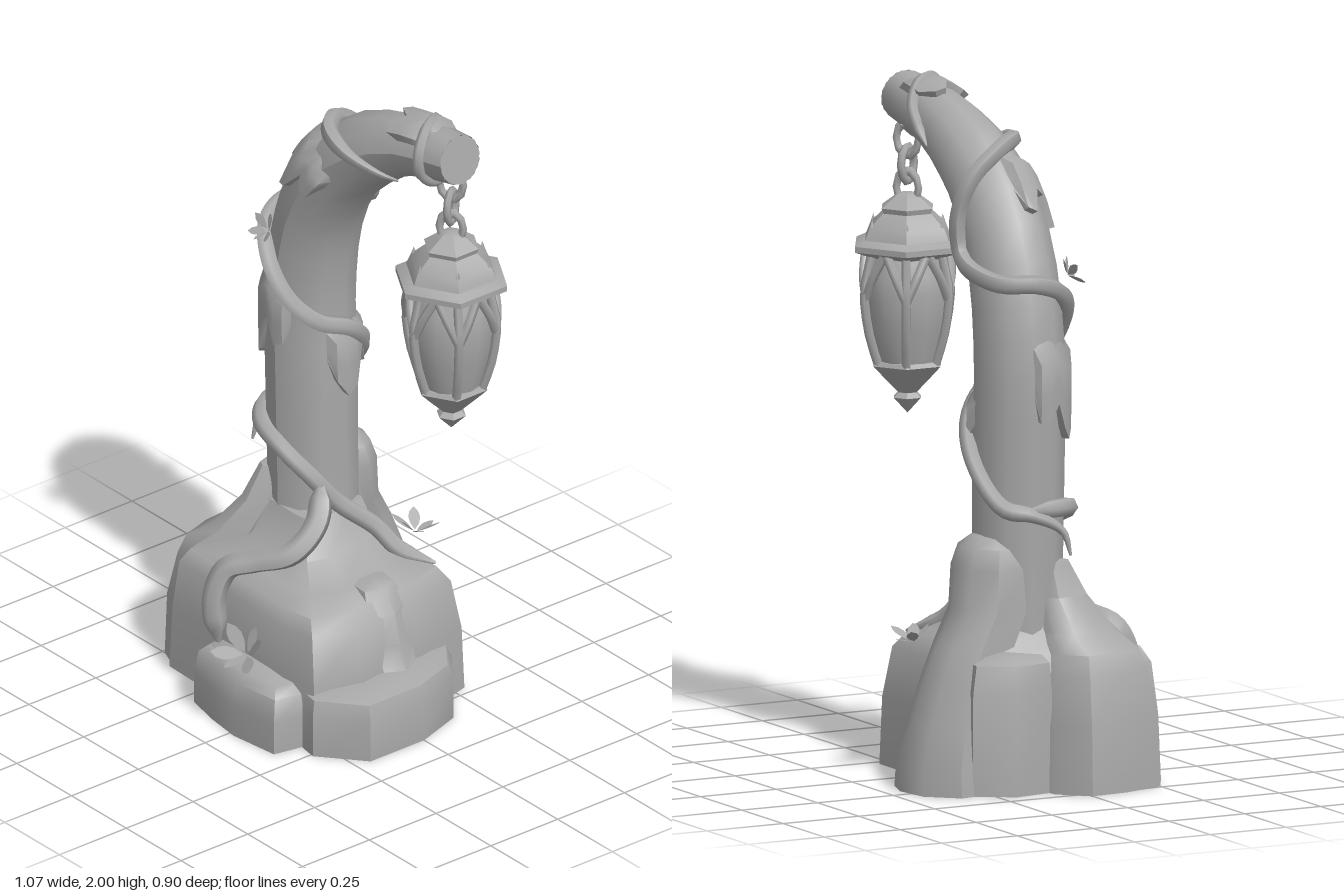
import * as THREE from 'three';
import { toCreasedNormals } from 'three/addons/utils/BufferGeometryUtils.js';

const V = (x, y, z) => new THREE.Vector3(x, y, z);
const deg = Math.PI / 180;

// Trunk centre line and radius at each station
const stations = [[-.18, .3, -.06, .14], [-.19, .6, -.06, .133], [-.198, 1, -.06, .136], [-.203, 1.25, -.06, .134],
  [-.16, 1.5, -.06, .13], [-.06, 1.68, -.06, .125], [.08, 1.805, -.07, .112], [.25, 1.882, -.08, .09], [.45, 1.917, -.085, .075]];
const trunkCurve = new THREE.CatmullRomCurve3(stations.map(s => V(s[0], s[1], s[2])));
const last = stations.length - 1;
function radiusAt(st) {
  const i = Math.min(Math.floor(st), last - 1);
  return THREE.MathUtils.lerp(stations[i][3], stations[i + 1][3], st - i);
}
// Point on the bark: angle 0 = inner side of the bend, 90 = front, 180 = outer side, 270 = back
function onTrunk(st, angle, gap) {
  const t = trunkCurve.getTangent(st / last), r = radiusAt(st) + gap;
  const n = V(t.y, -t.x, 0).normalize();
  return trunkCurve.getPoint(st / last).addScaledVector(n, r * Math.cos(angle * deg)).add(V(0, 0, r * Math.sin(angle * deg)));
}

// Tube whose radius varies along its length
function taperedTube(curve, radius, segs, sides) {
  const g = new THREE.TubeGeometry(curve, segs, 1, sides), p = g.attributes.position, v = V();
  for (let i = 0; i <= segs; i++) {
    const c = curve.getPointAt(i / segs), r = radius(i / segs);
    for (let j = 0; j <= sides; j++) {
      const k = i * (sides + 1) + j;
      v.fromBufferAttribute(p, k).sub(c).multiplyScalar(r).add(c);
      p.setXYZ(k, v.x, v.y, v.z);
    }
  }
  g.computeVertexNormals();
  return g;
}

function surface(verts, index) {
  const g = new THREE.BufferGeometry();
  g.setAttribute('position', new THREE.Float32BufferAttribute(verts, 3));
  g.setIndex(index);
  return toCreasedNormals(g, 0.8);
}

// Rock: outline [x, z] lofted through levels [y, scale, shiftX, shiftZ], hollow below;
// an open rock leaves out the wall that leans on its neighbour
function rockGeometry(outline, levels, open = false) {
  const n = outline.length, verts = [], index = [];
  const cx = outline.reduce((s, p) => s + p[0], 0) / n, cz = outline.reduce((s, p) => s + p[1], 0) / n;
  for (const [y, s, ox = 0, oz = 0] of levels)
    for (const [x, z] of outline) verts.push(cx + ox + (x - cx) * s, y, cz + oz + (z - cz) * s);
  for (let l = 0; l < levels.length - 1; l++)
    for (let i = 0; i < (open ? n - 1 : n); i++) {
      const a = l * n + i, b = l * n + (i + 1) % n;
      index.push(a, b, b + n, a, b + n, a + n);
    }
  const top = levels[levels.length - 1], base = (levels.length - 1) * n;
  verts.push(cx + (top[2] || 0), top[0] + .01, cz + (top[3] || 0));
  for (let i = 0; i < n; i++) index.push(base + i, base + (i + 1) % n, base + n);
  return surface(verts, index);
}

// Moss: raised patch on the bark with a ragged lower edge
function mossGeometry(a0, a1, top, drips) {
  const rows = 4, cols = drips.length, verts = [], index = [];
  for (let r = 0; r <= rows; r++)
    for (let c = 0; c < cols; c++) {
      const edge = r === 0 || r === rows || c === 0 || c === cols - 1;
      const st = THREE.MathUtils.lerp(top, drips[c], Math.min(r, rows - 1) / (rows - 1));
      onTrunk(st, a0 + (a1 - a0) * c / (cols - 1), edge ? -.012 : .017).toArray(verts, verts.length);
    }
  for (let r = 0; r < rows; r++)
    for (let c = 0; c < cols - 1; c++) {
      const k = r * cols + c;
      index.push(k, k + cols, k + 1, k + 1, k + cols, k + cols + 1);
    }
  return surface(verts, index);
}

export function createModel() {
  const model = new THREE.Group();
  const stone = new THREE.MeshStandardMaterial({ color: 0xa8a8a8, side: THREE.DoubleSide });
  stone.name = 'plain grey';
  const add = (name, geometry, parent = model) => {
    const m = new THREE.Mesh(geometry, stone);
    m.name = name;
    parent.add(m);
    return m;
  };

  // Curved trunk with a cut end
  add('trunk', taperedTube(trunkCurve, u => radiusAt(trunkCurve.getUtoTmapping(u) * last), 20, 11));
  const cut = add('trunkEnd', new THREE.CircleGeometry(.075, 11));
  cut.position.copy(trunkCurve.getPoint(1));
  cut.lookAt(cut.position.clone().add(trunkCurve.getTangent(1)));

  // Rock base
  add('mainRock', rockGeometry(
    [[-.42, .29], [-.15, .3], [.12, .31], [.24, .29], [.29, .14], [.27, -.1], [.22, -.29], [-.1, -.29], [-.38, -.29], [-.43, 0]],
    [[0, 1], [.2, .98], [.35, .92, -.01], [.395, .83, -.02], [.42, .68, -.05, -.02], [.46, .47, -.1, -.04], [.56, .36, -.125, -.06]]));
  add('leftRock', rockGeometry(
    [[-.54, 0], [-.53, .12], [-.49, .25], [-.4, .285], [-.28, .2], [-.26, 0], [-.34, -.1], [-.46, -.08]],
    [[0, 1], [.2, .98, .005], [.34, .86, .02], [.4, .75, .03], [.45, .6, .08, -.02], [.55, .42, .13, -.05], [.65, .25, .14, -.07]]));
  add('rightRock', rockGeometry(
    [[.2, .3], [.26, .31], [.39, .2], [.39, 0], [.34, -.15], [.22, -.24]],
    [[0, 1], [.13, 1], [.175, .95, -.01], [.19, .8, -.04]], true));
  add('sideRock', rockGeometry(
    [[.22, .07], [.36, .08], [.39, 0], [.35, -.08], [.22, -.1]],
    [[0, 1], [.13, .95], [.18, .75, -.06], [.27, .85, -.1], [.36, .95, -.13], [.42, .7, -.16]], true));
  add('frontRock', rockGeometry(
    [[-.22, .29], [-.21, .37], [-.1, .395], [.02, .41], [.18, .39], [.2, .29]],
    [[0, 1], [.1, 1], [.17, .95, 0, -.01], [.195, .82, 0, -.03]], true));
  add('backBlock', rockGeometry(
    [[-.24, -.28], [-.38, -.31], [-.45, -.2], [-.43, -.07]], [[0, 1], [.3, .97], [.38, .9, .01, .01], [.4, .7, .03, .03]], true));
  add('backRoot', rockGeometry(
    [[-.39, -.35], [-.37, -.2], [-.22, -.12], [-.09, -.2], [-.06, -.35], [-.11, -.42], [-.2, -.45], [-.31, -.435]],
    [[0, 1], [.07, .97], [.2, .85, 0, .02], [.32, .78, 0, .05], [.42, .74, 0, .085], [.52, .72, .015, .14], [.64, .72, .02, .15], [.7, .62, .025, .16], [.73, .35, .025, .16]]));

  // Vines winding round the trunk: [station, angle] or free points
  const vine = (name, pts, r, gap) => {
    const curve = new THREE.CatmullRomCurve3(pts.map(p => p.isVector3 ? p : onTrunk(p[0], p[1], gap)));
    add(name, taperedTube(curve, u => r * Math.min(1, .15 + u * 9, .15 + (1 - u) * 9), pts.length * 5, 6));
  };
  vine('lowerVine', [[1.52, 205], [1.54, 160], [1.5, 115], [1.4, 75], [1.2, 40], [.95, 10], V(.01, .5, -.13), V(.07, .435, -.17), V(.15, .4, -.24)], .028, .014);
  vine('frontRootVine', [[1.18, 30], V(-.015, .57, .07), V(-.03, .49, .15), V(-.12, .45, .22), V(-.18, .42, .27), V(-.195, .33, .305), V(-.17, .19, .31)], .036, .014);
  vine('longVine', [V(-.37, .68, .02), V(-.36, .75, 0), [1.5, 190], [1.55, 225], [1.85, 270], [2.2, 310], [2.55, 350], [2.75, 390], [3.05, 425],
    [3.4, 460], [3.65, 500], [3.75, 540], [3.8, 585], [4.05, 630], [4.35, 650], [4.8, 630], [5.15, 590], [5.45, 540], [5.75, 495], [6.15, 455], [6.6, 415], [6.7, 385]], .027, .011);
  vine('endVine', [[6.3, 275], [6.7, 265], [7.05, 245], [7.3, 205], [7.5, 160], [7.6, 110], [7.55, 60], [7.5, 10], [7.5, -50]], .018, .004);

  // Moss patches
  add('leftMoss', mossGeometry(60, 195, 3.25, [2.75, 2.4, 2.35, 2.7, 2.6, 2.15, 2.05, 2.2, 2.5, 2.3, 2.3, 2.8]));
  add('bendMoss', mossGeometry(65, 185, 5.5, [5.3, 4.85, 4.8, 5, 4.5, 4.4, 4.8, 4.85, 4.55, 4.6, 5]));
  add('endMoss', mossGeometry(110, 240, 7.7, [7.2, 6.95, 6.9, 7.1, 6.85, 6.85, 7.05, 7.3]));
  add('innerMoss', mossGeometry(-85, 25, 2.6, [2.3, 2, 1.95, 2.2, 1.85, 1.8, 1.95, 2.3]));
  add('lowMoss', mossGeometry(-110, -35, 1.25, [.7, .5, .6, .45, .7]));

  // Small leafy plants
  const leafShape = new THREE.Shape();
  leafShape.moveTo(0, 0);
  leafShape.quadraticCurveTo(.045, .06, 0, .1);
  leafShape.quadraticCurveTo(-.045, .06, 0, 0);
  const leafGeometry = new THREE.ShapeGeometry(leafShape, 4).translate(0, .01, 0);
  const plant = (name, pos, size, tiltX, tiltZ) => {
    const g = new THREE.Group();
    g.name = name;
    for (let i = 0; i < 6; i++) {
      const leaf = add('leaf', leafGeometry, g);
      leaf.rotation.set(.95 + .2 * (i % 2), i * 60 * deg, 0, 'YXZ');
      leaf.scale.setScalar(size * (i % 3 ? 1 : .8));
    }
    g.position.copy(pos);
    g.rotation.set(tiltX, 0, tiltZ);
    model.add(g);
  };
  plant('frontPlant', V(.02, .25, .36), 1, .75, 0);
  plant('backPlant', V(-.03, .4, -.31), .8, -.2, 0);
  plant('trunkPlant', V(-.2, 1.47, .1), .6, .9, .2);

  // Hanging six-sided lantern
  const lantern = new THREE.Group();
  lantern.name = 'lantern';
  lantern.position.set(.38, 0, -.11);
  model.add(lantern);
  const lathe = (name, pts, sides) =>
    add(name, toCreasedNormals(new THREE.LatheGeometry(pts.map(p => new THREE.Vector2(...p)), sides), .6), lantern);
  lathe('lanternRoof', [[.11, 1.455], [.173, 1.478], [.173, 1.495], [.14, 1.51], [.125, 1.545], [.08, 1.585], [.085, 1.6], [.05, 1.625], [.03, 1.64], [0, 1.645]], 6);
  lathe('lanternGlass', [[.085, 1.13], [.117, 1.25], [.128, 1.36], [.12, 1.41], [.1, 1.47]], 12);
  lathe('lanternFoot', [[0, .993], [.045, 1.04], [.03, 1.055], [.045, 1.07], [.08, 1.105], [.112, 1.138], [.105, 1.15], [0, 1.155]], 6);

  // Cage bars, arches and roof studs
  const bar = pts => new THREE.TubeGeometry(new THREE.CatmullRomCurve3(pts), 7, .014, 5);
  const upright = bar([V(.095, 1.14, 0), V(.127, 1.24, 0), V(.142, 1.36, 0), V(.132, 1.41, 0), V(.115, 1.48, 0)]);
  const polar = (r, y, a) => V(r * Math.cos(a), y, r * Math.sin(a));
  const arches = [1, -1].map(s => bar([polar(.138, 1.34, 0), polar(.134, 1.4, s * .2), polar(.122, 1.47, s * .48)]));
  const stud = new THREE.ConeGeometry(.014, .04, 4).translate(.116, 1.55, 0);
  for (let i = 0; i < 6; i++)
    for (const [name, g] of [['cageBar', upright], ['cageArch', arches[0]], ['cageArch', arches[1]], ['roofStud', stud]])
      add(name, g, lantern).rotation.y = (i * 60 + 30) * deg;

  // Chain of alternating links
  const link = new THREE.TorusGeometry(.036, .012, 6, 10).scale(1, 1.35, 1);
  [1.655, 1.725, 1.8].forEach((y, i) => {
    const l = add('chainLink', link, lantern);
    l.position.y = y;
    l.rotation.y = (i % 2 ? 120 : 35) * deg;
  });

  return model;
}
